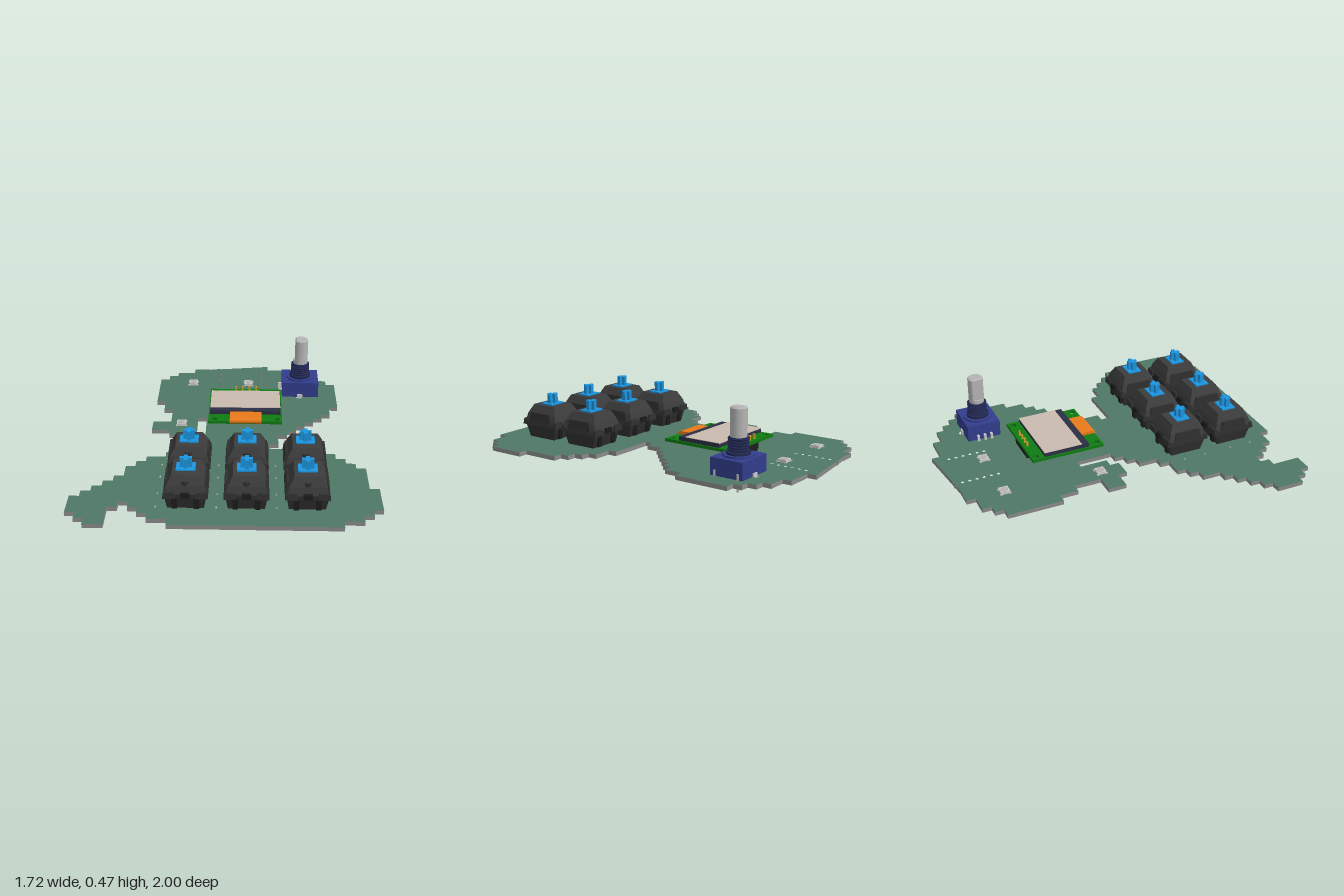
import * as THREE from 'three';

const mat = (color, extra = {}) => new THREE.MeshStandardMaterial({ color, ...extra });
const M = {
  board: mat(0x4f7766), edge: mat(0x8a8a8a), housing: mat(0x3c3c3c), base: mat(0x2f2f2f),
  stem: mat(0x1b95e0), metal: mat(0xcccccc), shaft: mat(0xb4b4b4), encoder: mat(0x323c8c),
  collar: mat(0x20264f), pcb: mat(0x0f7a12), glass: mat(0x2b2f45), screen: mat(0xcabab0),
  flex: mat(0xe8791a), gold: mat(0xc9a227), diode: mat(0x18a0b4), band: mat(0xb03a2e), black: mat(0x1c1c1c),
};
const BOTTOM = 0.07, TOP = 0.095;

function add(parent, name, geo, material, x = 0, y = 0, z = 0) {
  const mesh = new THREE.Mesh(geo, material);
  mesh.name = name;
  mesh.position.set(x, y, z);
  parent.add(mesh);
  return mesh;
}
function group(parent, name, x = 0, y = 0, z = 0) {
  const g = new THREE.Group();
  g.name = name;
  g.position.set(x, y, z);
  parent.add(g);
  return g;
}
const box = (w, h, d) => new THREE.BoxGeometry(w, h, d);
const rod = (r, h, n = 12) => new THREE.CylinderGeometry(r, r, h, n);

// box standing on y = 0 whose top has its own width and depth
function frustum(w0, d0, w1, d1, h) {
  const g = box(1, h, 1).translate(0, h / 2, 0).toNonIndexed();
  const p = g.attributes.position;
  for (let i = 0; i < p.count; i++) {
    const up = p.getY(i) > h / 2;
    p.setX(i, p.getX(i) * (up ? w1 : w0));
    p.setZ(i, p.getZ(i) * (up ? d1 : d0));
  }
  g.computeVertexNormals();
  return g;
}
// horizontal plate from a plan shape; plan y is -z
function plate(shape, depth, opts = {}) {
  return new THREE.ExtrudeGeometry(shape, { depth, bevelEnabled: false, curveSegments: 8, ...opts }).rotateX(-Math.PI / 2);
}
function drill(shape, x, z, r) {
  shape.holes.push(new THREE.Path().absarc(x, -z, r, 0, Math.PI * 2, true));
}

// stepped outline on a 31 x 36 grid: each pair moves across to a column, then along to a row
const STEPS = [20,1, 23,2, 25,3, 26,4, 27,5, 28,11, 27,13, 26,14, 25,15, 24,16, 23,17, 22,18, 21,20, 20,21,
  25,22, 27,23, 28,24, 29,25, 30,29, 31,33, 30,34, 29,35, 27,36, 10,35, 8,34, 7,33, 6,32, 5,33, 4,36, 2,35,
  1,34, 0,31, 1,30, 2,29, 3,28, 4,27, 5,25, 6,24, 7,23, 9,22, 10,20, 11,19, 12,18, 13,14, 12,17, 11,18,
  9,17, 7,15, 9,12, 8,10, 7,4, 8,3, 9,2, 11,1, 13,0];

function buildBoard(root) {
  const cell = 1 / 18, pts = [];
  const at = (c, r) => pts.push(new THREE.Vector2((c - 15.5) * cell, (18 - r) * cell));
  let row = 0;
  for (let i = 0; i < STEPS.length; i += 2) {
    at(STEPS[i], row);
    row = STEPS[i + 1];
    at(STEPS[i], row);
  }
  pts.pop();
  const shape = new THREE.Shape(pts);
  for (const x of [-0.064, 0.203]) for (let i = 0; i < 7; i++) drill(shape, x, -0.953 + i * 0.044, 0.009);
  for (const z of [-0.745, -0.53]) drill(shape, 0.455, z, 0.02);
  add(root, 'circuitBoard', plate(shape, TOP - BOTTOM), [M.board, M.edge], 0, BOTTOM, 0);
}

function buildSwitch(root, x, z) {
  const g = group(root, 'keySwitch', x, 0, z);
  // two-part housing with a flange at the seam
  add(g, 'lowerHousing', frustum(0.2, 0.195, 0.226, 0.235, 0.08), M.base, 0, TOP, 0);
  add(g, 'flange', frustum(0.246, 0.25, 0.24, 0.25, 0.022), M.base, 0, 0.172, 0);
  add(g, 'upperHousing', frustum(0.228, 0.245, 0.205, 0.22, 0.05), M.housing, 0, 0.19, 0);
  add(g, 'crown', frustum(0.205, 0.22, 0.148, 0.17, 0.052), M.housing, 0, 0.24, 0);
  for (const s of [-1, 1]) {
    add(g, 'sideRib', frustum(0.02, 0.18, 0.012, 0.15, 0.06), M.base, s * 0.108, 0.19, 0);
    add(g, 'seamClip', box(0.05, 0.03, 0.02), M.black, 0, 0.19, s * 0.126);
    for (const t of [-1, 1]) {
      add(g, 'cornerBracket', frustum(0.068, 0.03, 0.06, 0.02, 0.035), M.base, s * 0.088, 0.172, t * 0.12);
      add(g, 'lowerRib', frustum(0.03, 0.012, 0.03, 0.02, 0.07), M.black, s * 0.06, 0.1, t * 0.11);
    }
    add(g, 'boardPeg', rod(0.013, 0.045), M.base, s * 0.083, 0.085, 0);
  }
  add(g, 'lampWell', rod(0.026, 0.02, 16), M.base, 0, 0.252, 0.086);
  // coloured slider with a cross on top
  add(g, 'stemFoot', box(0.106, 0.012, 0.084), M.stem, 0, 0.294, 0);
  add(g, 'stemBlock', box(0.066, 0.055, 0.022), M.stem, 0, 0.3275, 0);
  add(g, 'stemCross', box(0.022, 0.054, 0.06), M.stem, 0, 0.3275, 0);
  // peg and contacts under the board
  add(g, 'centrePeg', new THREE.CylinderGeometry(0.036, 0.032, 0.04, 20), M.base, 0, 0.076, 0);
  add(g, 'centrePegTip', new THREE.CylinderGeometry(0.032, 0.02, 0.014, 20), M.base, 0, 0.049, 0);
  for (const [px, pz] of [[-0.062, -0.041], [0.042, -0.083]])
    add(g, 'contactPin', box(0.014, 0.06, 0.008), M.metal, px, 0.067, pz);
}

function buildDiode(root, x, z) {
  const g = group(root, 'diode', x, 0, z), y = 0.04, h = 0.068;
  const path = new THREE.CatmullRomCurve3([[0.105, -h], [0.06, -h], [y, -0.052], [y, 0], [y, 0.052], [0.06, h], [0.105, h]]
    .map(([py, pz]) => new THREE.Vector3(0, py, pz)));
  add(g, 'diodeLead', new THREE.TubeGeometry(path, 28, 0.005, 6), M.metal);
  add(g, 'diodeBody', new THREE.CapsuleGeometry(0.017, 0.042, 4, 12).rotateX(Math.PI / 2), M.diode, 0, y, 0);
  add(g, 'diodeBand', rod(0.0178, 0.012, 12).rotateX(Math.PI / 2), M.band, 0, y, -0.018);
}

function buildEncoder(root) {
  const g = group(root, 'rotaryEncoder', 0.459, 0, -0.637);
  add(g, 'encoderBody', box(0.236, 0.1, 0.206), M.encoder, 0, 0.146, 0);
  add(g, 'bodyLid', rod(0.088, 0.012, 32), M.encoder, 0, 0.2, 0);
  // threaded collar
  const prof = [[0, 0.2], [0.068, 0.2], [0.068, 0.218]];
  for (let i = 0; i < 5; i++) prof.push([0.05, 0.222 + i * 0.015], [0.059, 0.228 + i * 0.015], [0.059, 0.233 + i * 0.015]);
  prof.push([0.05, 0.3], [0, 0.3]);
  add(g, 'threadedCollar', new THREE.LatheGeometry(prof.map(p => new THREE.Vector2(...p)), 28),
    mat(0x20264f, { flatShading: true }));
  // shaft with one flat side
  add(g, 'shaftRoot', rod(0.047, 0.025, 28), M.shaft, 0, 0.31, 0);
  const a = Math.acos(-0.033 / 0.047);
  const d = new THREE.Shape().absarc(0, 0, 0.04, -a, a, false);
  add(g, 'shaft', plate(d, 0.14, { bevelEnabled: true, bevelSize: 0.007, bevelThickness: 0.007, bevelSegments: 1, curveSegments: 28 }),
    M.shaft, 0, 0.318, 0);
  // bent terminals and mounting lugs
  const terminal = (s, z) => {
    add(g, 'terminalArm', box(0.024, 0.01, 0.014), M.metal, s * 0.126, 0.125, z);
    add(g, 'terminalLeg', box(0.008, 0.1, 0.014), M.metal, s * 0.136, 0.08, z);
  };
  for (const z of [-0.042, 0, 0.042]) terminal(-1, z);
  for (const z of [-0.075, 0.075]) add(g, 'switchLeg', box(0.01, 0.1, 0.014), M.metal, 0.115, 0.08, z);
  for (const s of [-1, 1]) add(g, 'mountingLug', box(0.036, 0.07, 0.008), M.metal, 0, 0.08, s * 0.106);
}

function buildDisplay(root) {
  const g = group(root, 'displayModule'), cx = 0.103, cz = -0.267, w = 0.454;
  const s = new THREE.Shape();
  const x0 = cx - w / 2, x1 = cx + w / 2, z0 = -0.494, z1 = -0.042;
  s.moveTo(x0, -z1).lineTo(x1, -z1).lineTo(x1, -z0).lineTo(x0, -z0).closePath();
  for (const x of [-0.088, 0.298]) for (const z of [-0.463, -0.072]) drill(s, x, z, 0.018);
  add(g, 'displayBoard', plate(s, 0.018), M.pcb, 0, 0.15, 0);
  add(g, 'displayGlass', box(0.438, 0.024, 0.28), M.glass, cx, 0.18, -0.275);
  add(g, 'screen', box(0.436, 0.005, 0.238), M.screen, cx, 0.1925, -0.297);
  // ribbon curving from the glass over the board edge
  const r = new THREE.Shape();
  r.moveTo(-0.136, 0.168).lineTo(-0.136, 0.187).lineTo(-0.075, 0.187)
    .quadraticCurveTo(-0.035, 0.187, -0.035, 0.168).quadraticCurveTo(-0.035, 0.148, -0.06, 0.147)
    .lineTo(-0.1, 0.147).lineTo(-0.1, 0.168).closePath();
  const ribbon = new THREE.ExtrudeGeometry(r, { depth: 0.194, bevelEnabled: false, curveSegments: 8 })
    .rotateY(-Math.PI / 2);
  add(g, 'ribbon', ribbon, M.flex, 0.203, 0, 0);
  // four-pin header
  add(g, 'headerBlock', box(0.172, 0.04, 0.04), M.black, 0.106, 0.13, -0.467);
  add(g, 'headerSpacer', box(0.172, 0.016, 0.026), M.black, 0.106, 0.103, -0.467);
  for (let i = 0; i < 4; i++) add(g, 'headerPin', box(0.011, 0.2, 0.011), M.gold, 0.041 + i * 0.0433, 0.1, -0.467);
}

function buildLamp(root, x, z) {
  const g = group(root, 'indicatorLamp', x, TOP, z);
  add(g, 'lampCase', box(0.056, 0.016, 0.056), M.metal, 0, 0.008, 0);
  add(g, 'lampLens', rod(0.022, 0.004, 20), M.shaft, 0, 0.0165, 0);
  for (const sx of [-1, 1]) for (const sz of [-1, 1])
    add(g, 'lampPad', box(0.012, 0.005, 0.012), M.metal, sx * 0.027, 0.0025, sz * 0.027);
}

export function createModel() {
  const root = new THREE.Group();
  root.name = 'macroPad';
  buildBoard(root);
  for (const x of [-0.21, 0.119, 0.448]) for (const z of [0.418, 0.732]) {
    buildSwitch(root, x, z);
    buildDiode(root, x - 0.165, z + 0.026);
  }
  buildEncoder(root);
  buildDisplay(root);
  for (const [x, z] of [[-0.25, -0.72], [0.12, -0.72], [-0.293, -0.14]]) buildLamp(root, x, z);
  return root;
}
